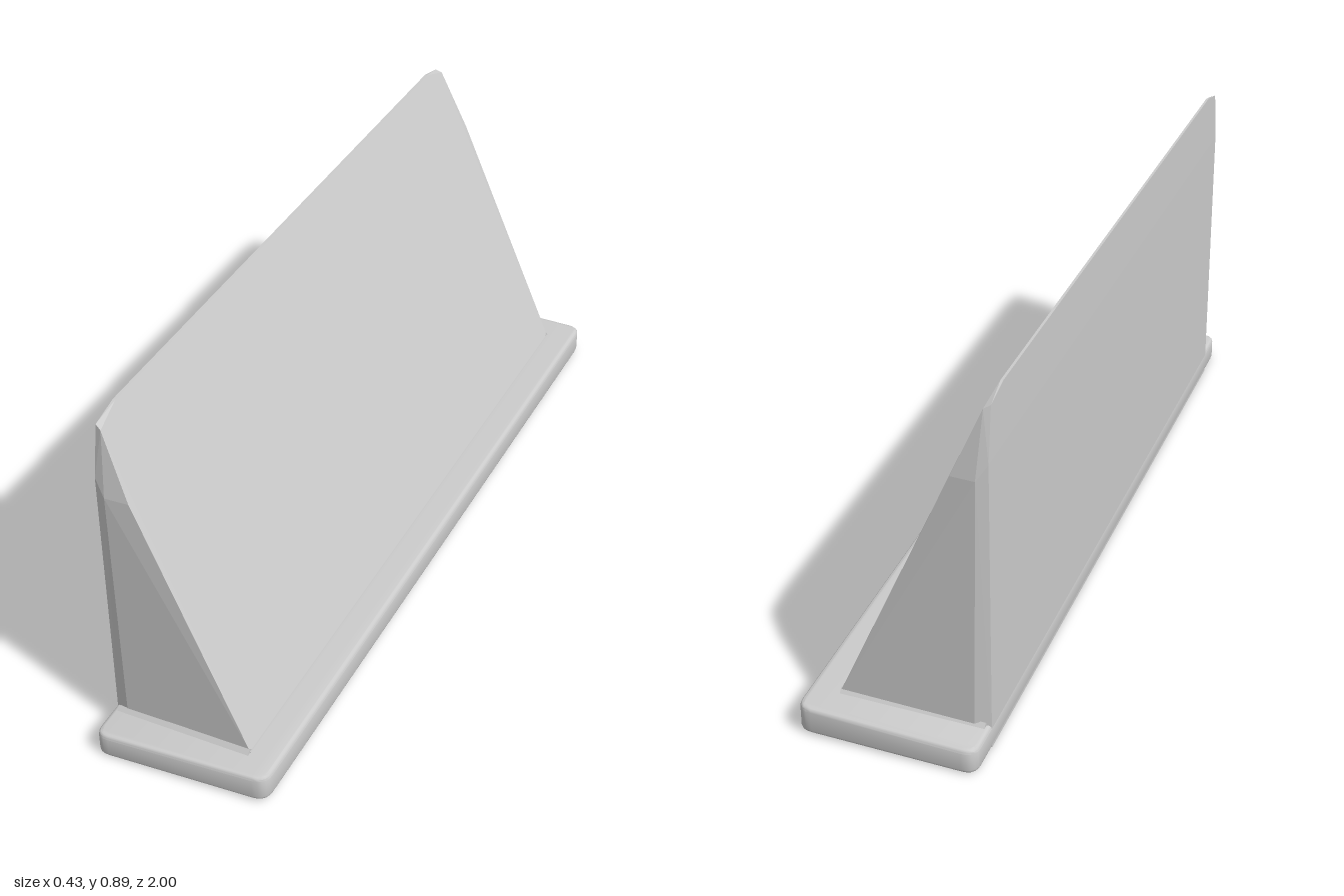
import * as THREE from 'three';
import { ConvexGeometry } from 'three/addons/geometries/ConvexGeometry.js';
import { toCreasedNormals } from 'three/addons/utils/BufferGeometryUtils.js';

const material = new THREE.MeshStandardMaterial({ color: 0xcccccc });

// Closed outline with rounded corners
function roundedOutline(corners, r) {
  const pts = corners.map(([x, y]) => new THREE.Vector2(x, y));
  const shape = new THREE.Shape();
  pts.forEach((p, i) => {
    const prev = pts[(i + pts.length - 1) % pts.length];
    const next = pts[(i + 1) % pts.length];
    const a = p.clone().add(prev.clone().sub(p).setLength(r));
    const b = p.clone().add(next.clone().sub(p).setLength(r));
    if (i === 0) shape.moveTo(a.x, a.y); else shape.lineTo(a.x, a.y);
    shape.quadraticCurveTo(p.x, p.y, b.x, b.y);
  });
  shape.closePath();
  return shape;
}

// Base plate: slightly tapered outline with soft edges
function basePlate() {
  const bevel = 0.01;
  const outline = roundedOutline([[-0.216, -1], [0.214, -0.97], [0.214, 0.99], [-0.216, 1]], 0.035);
  const geo = new THREE.ExtrudeGeometry(outline, {
    depth: 0.07 - 2 * bevel, bevelEnabled: true, bevelThickness: bevel,
    bevelSize: bevel, bevelOffset: -bevel, bevelSegments: 3, curveSegments: 5,
  });
  geo.translate(0, 0, bevel).rotateX(-Math.PI / 2);
  // The top rises gently towards the sloped side
  const p = geo.attributes.position;
  for (let i = 0; i < p.count; i++) {
    const t = (p.getX(i) + 0.216) / 0.43;
    p.setY(i, p.getY(i) + (p.getY(i) > 0.035 ? -0.006 + 0.011 * t : 0.005 * t));
  }
  geo.computeVertexNormals();
  const mesh = new THREE.Mesh(toCreasedNormals(geo, 0.6), material);
  mesh.name = 'basePlate';
  return mesh;
}

// Triangular wedge: upright back, sloped front, clipped upper corners
function wedge() {
  const endProfile = [
    [-0.216, 0.002, 0.893], [-0.18, 0.03, 0.907], [0.145, 0.062, 0.905],
    [0.14, 0.077, 0.905], [-0.132, 0.7, 0.9],
    [-0.19, 0.7, 0.904], [-0.216, 0.74, 0.893],
    [-0.2, 0.862, 0.878], [-0.215, 0.87, 0.872],
    [-0.209, 0.888, 0.8], [-0.215, 0.888, 0.8],
  ];
  const points = [];
  for (const side of [1, -1]) {
    for (const [x, y, z] of endProfile) {
      points.push(new THREE.Vector3(x, y, side * z - (side < 0 ? 0.004 : 0)));
    }
  }
  const mesh = new THREE.Mesh(new ConvexGeometry(points), material);
  mesh.name = 'wedge';
  return mesh;
}

// Small sloped fillets where the wedge ends meet the plate
function fillet(side) {
  const points = [];
  for (const x of [-0.205, 0.14]) {
    const y = x < 0 ? 0.06 : 0.07;
    points.push(
      new THREE.Vector3(x, y, side * 0.918),
      new THREE.Vector3(x, y + 0.015, side * 0.906),
      new THREE.Vector3(x, y, side * 0.89),
    );
  }
  const mesh = new THREE.Mesh(new ConvexGeometry(points), material);
  mesh.name = side > 0 ? 'frontFillet' : 'backFillet';
  return mesh;
}

export function createModel() {
  const model = new THREE.Group();
  model.name = 'wedgeBlock';
  model.add(basePlate(), wedge(), fillet(1), fillet(-1));
  return model;
}
